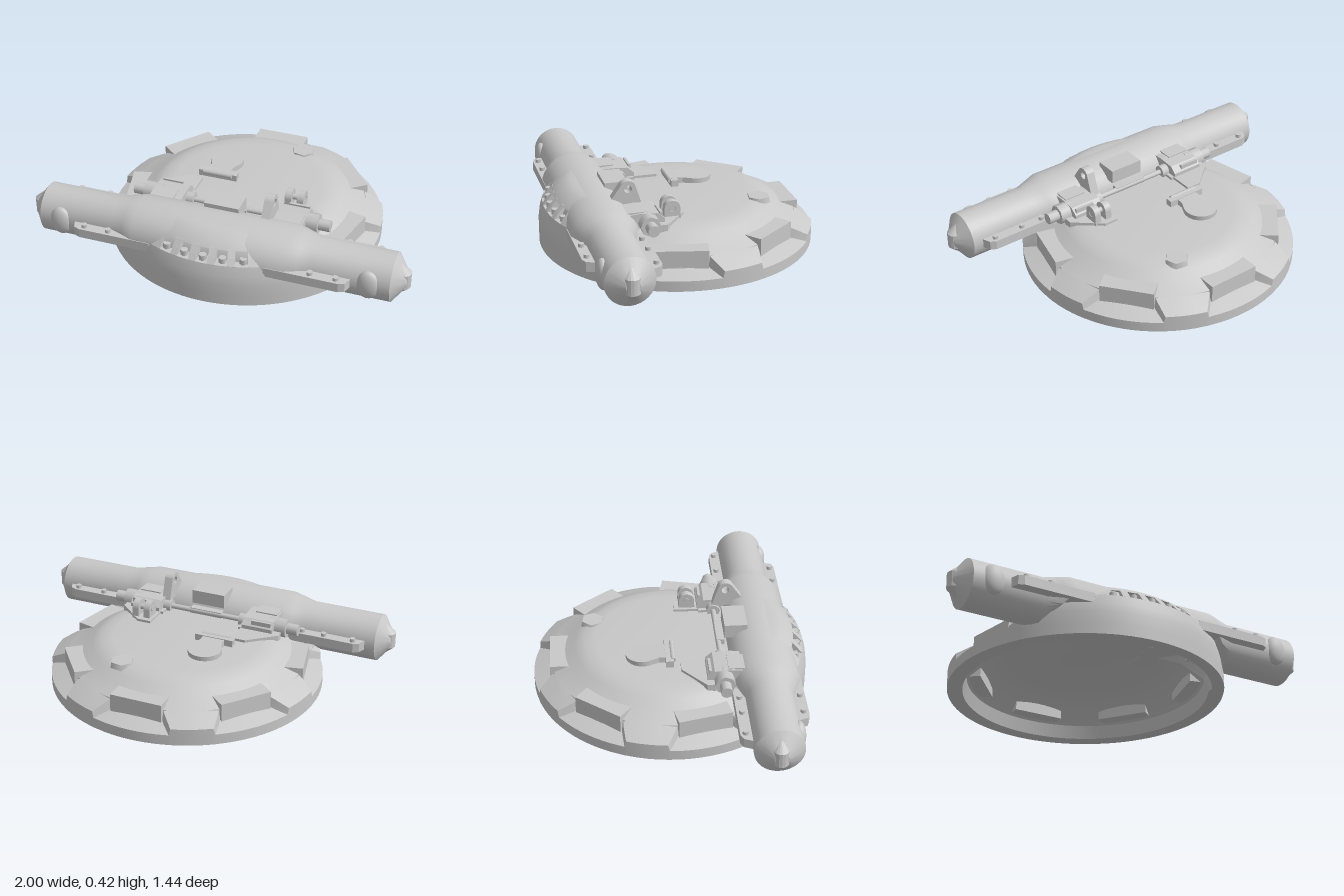
import * as THREE from 'three';
import { toCreasedNormals } from 'three/addons/utils/BufferGeometryUtils.js';
import { ConvexGeometry } from 'three/addons/geometries/ConvexGeometry.js';

export function createModel() {
  const model = new THREE.Group();
  const steel = new THREE.MeshStandardMaterial({ color: 0xc8c8c8 });
  steel.name = 'steel grey';

  const add = (name, geo, x = 0, y = 0, z = 0, parent = model) => {
    const mesh = new THREE.Mesh(geo, steel);
    mesh.name = name;
    mesh.position.set(x, y, z);
    parent.add(mesh);
    return mesh;
  };
  const v2 = (pts) => pts.map(([a, b]) => new THREE.Vector2(a, b));
  const shapeOf = (pts) => new THREE.Shape(v2(pts));
  const box = (w, h, d) => new THREE.BoxGeometry(w, h, d);
  const cylX = (r, len, n = 16) => new THREE.CylinderGeometry(r, r, len, n).rotateZ(Math.PI / 2);
  const extrude = (shape, depth) =>
    new THREE.ExtrudeGeometry(shape, { depth, bevelEnabled: false, curveSegments: 12 });
  // outline in (x, z), from y = top - h to y = top
  const flat = (shape, top, h) => extrude(shape, h).rotateX(Math.PI / 2).translate(0, top, 0);
  // outline in (z, y), centred on x
  const upright = (shape, x, w) => extrude(shape, w).rotateY(-Math.PI / 2).translate(x + w / 2, 0, 0);

  // Hollow lid: one profile all round, swapped for a tall wall at the front,
  // with flared notches cut into the rim for five vision blocks
  const rim = [[0.64, 0], [0.72, 0], [0.72, 0.055], [0.72, 0.09], [0.66, 0.124], [0.633, 0.138], [0.627, 0.141],
    [0.54, 0.18], [0.5, 0.207], [0.45, 0.23], [0.39, 0.236], [0, 0.238], [0, 0.205], [0.38, 0.2], [0.5, 0.165],
    [0.62, 0.07], [0.64, 0]];
  const front = [[0.66, 0], [0.722, 0], [0.722, 0.055], [0.722, 0.12], [0.715, 0.17], [0.7, 0.22], [0.62, 0.222],
    [0.53, 0.225], [0.49, 0.228], [0.44, 0.233], [0.38, 0.236], [0, 0.238], [0, 0.205], [0.38, 0.2], [0.5, 0.2],
    [0.66, 0.195], [0.66, 0]];
  const step = (Math.PI * 2) / 98;
  const lid = new THREE.LatheGeometry(v2(rim), 98);
  const lidPos = lid.attributes.position;
  for (let s = 0; s <= 98; s++) {
    const sector = Math.round(s / 14), local = s - sector * 14, steps = Math.abs(local);
    const isFront = Math.abs(s - 49) <= 15;
    for (let j = 0; j < rim.length; j++) {
      let [r, y] = (isFront ? front : rim)[j];
      let angle = Math.PI + s * step;
      if (!isFront && sector !== 3 && sector !== 4 && j >= 1 && j <= 5) {
        const edge = 0.218 + (r - 0.63) * 0.8;
        if (steps === 4 || steps === 5)
          angle += Math.sign(local) * (edge + (steps - 4) * 0.012 - steps * step);
        if (steps <= 4) y = Math.min(y, 0.055 + (0.72 - r) * 0.34);
      }
      lidPos.setXYZ(s * rim.length + j, r * Math.sin(angle), y, r * Math.cos(angle));
    }
  }
  add('lid', toCreasedNormals(lid, 0.5));

  // Cross barrel lofted from sections: [x, depth radius, height radius, lowest y]
  const half = [[0.4, 0.176, 0.15, 0.203], [0.46, 0.15, 0.14, 0.14], [0.53, 0.125, 0.125, 0.07],
    [0.92, 0.125, 0.125, 0], [0.985, 0.035, 0.035, 0], [0.985, 0.0005, 0.0005, 0]];
  const sections = [...half.map(([x, ...r]) => [-x, ...r]).reverse(), ...half];
  const N = 32, pos = [], index = [];
  sections.forEach(([x, rz, ry, low], i) => {
    for (let j = 0; j < N; j++) {
      const a = (j / N) * Math.PI * 2;
      pos.push(x, Math.max(low, 0.195 + ry * Math.sin(a)), 0.465 + rz * Math.cos(a));
      if (i === sections.length - 1) continue;
      const p = i * N + j, q = i * N + ((j + 1) % N);
      index.push(p, p + N, q, q, p + N, q + N);
    }
  });
  const barrel = new THREE.BufferGeometry();
  barrel.setAttribute('position', new THREE.Float32BufferAttribute(pos, 3));
  barrel.setIndex(index);
  add('barrel', toCreasedNormals(barrel, 0.5));

  // Sloped apron joining the front wall to the barrel, with five bolt pockets
  const sector = (pts, start, length) =>
    toCreasedNormals(new THREE.LatheGeometry(v2(pts), 14, start, length), 0.5);
  const slope = [[0.643, 0.282], [0.615, 0.305], [0.585, 0.325], [0.55, 0.338], [0.5, 0.338]];
  add('apronTop', sector([[0.57, 0.275], [0.648, 0.276], ...slope], -0.6, 1.2));
  for (const start of [-0.6, 0.36])
    add('apronSide', sector([[0.7, 0.21], [0.7, 0.22], [0.675, 0.25], ...slope], start, 0.24));
  const ribShape = shapeOf([[0.7, 0.2], [0.7, 0.22], [0.675, 0.25], [0.643, 0.283], [0.57, 0.3], [0.57, 0.2]]);
  for (let i = -2.5; i <= 2.5; i++)
    add('pocketRib', upright(ribShape, 0, 0.037)).rotation.y = Math.asin((i * 0.1) / 0.7);
  for (let i = -2; i <= 2; i++) {
    const z = Math.sqrt(0.667 ** 2 - (i * 0.1) ** 2);
    add('pocketBolt', new THREE.CylinderGeometry(0.02, 0.02, 0.03, 6), i * 0.1, 0.234, z);
    // rounded pocket underside inside the lid
    add('pocketCup', new THREE.SphereGeometry(1, 14, 10).scale(0.034, 0.05, 0.045), i * 0.1, 0.168, z - 0.02);
  }

  // Five vision blocks standing at the back of the rim notches
  for (let i = -2; i <= 2; i++) {
    const angle = Math.PI + (i * Math.PI * 2) / 7;
    add('visionBlock', box(0.28, 0.095, 0.1), 0.582 * Math.sin(angle), 0.1275, 0.582 * Math.cos(angle))
      .rotation.y = angle;
  }

  // Mirrored fittings along the barrel
  for (const s of [-1, 1]) {
    const m = (pts) => shapeOf(pts.map(([x, z]) => [s * x, z]));
    add('rearFlange', flat(m([[0.44, 0.36], [0.44, 0.285], [0.82, 0.285], [0.85, 0.3], [0.875, 0.36]]), 0.22, 0.05));
    add('frontFlange', flat(m([[0.3, 0.56], [0.3, 0.642], [0.68, 0.642], [0.71, 0.63], [0.735, 0.56]]), 0.22, 0.05));
    for (const [x, z] of [[0.81, 0.312], [0.65, 0.312], [0.53, 0.312], [0.66, 0.615], [0.53, 0.615]])
      add('flangeBolt', new THREE.CylinderGeometry(0.015, 0.015, 0.022, 8), s * x, 0.227, z);
    add('frontKnob', new THREE.SphereGeometry(1, 24, 16).scale(0.06, 0.078, 0.035), s * 0.81, 0.197, 0.571);

    // Pointed upright lens at the barrel tip
    const lens = [0.09, 0.3].map((y) => new THREE.Vector3(s * 0.926, y, 0.465));
    for (let k = 0; k < 16; k++) {
      const a = (k * Math.PI) / 8;
      for (const y of [0.155, 0.235])
        lens.push(new THREE.Vector3(s * (0.96 + 0.04 * Math.cos(a)), y, 0.465 + 0.04 * Math.sin(a)));
    }
    add('endLens', new ConvexGeometry(lens));

    // Hinge bracket
    add('hingeBase', flat(m([[0.22, 0.29], [0.22, 0.17], [0.235, 0.17], [0.235, 0.04], [0.31, 0.04],
      [0.45, 0.16], [0.45, 0.2], [0.42, 0.29]]), 0.25, 0.05));
    const side = shapeOf([[0.35, 0.2], [0.35, 0.3], [0.29, 0.305], [0.2, 0.3], [0.165, 0.27], [0.165, 0.2]]);
    add('hingeBody', upright(side, s * 0.325, 0.17));
    add('hingeTail', box(0.12, 0.05, 0.09), s * 0.34, 0.285, 0.315);
    add('hingeSlot', box(0.11, 0.03, 0.014), s * 0.345, 0.285, 0.18);
    add('hingeCollar', cylX(0.052, 0.1, 8), s * 0.42, 0.255, 0.25);
    add('hingeNut', cylX(0.03, 0.08, 12), s * 0.49, 0.255, 0.25);
    add('hingeInnerNut', cylX(0.035, 0.05, 12), s * 0.225, 0.255, 0.25);
  }
  add('hingeRod', cylX(0.014, 0.9, 12), 0, 0.255, 0.25);
  add('rodPlate', box(0.18, 0.03, 0.04), 0, 0.255, 0.262);
  add('rearStop', box(0.185, 0.075, 0.12), 0, 0.32, 0.34);

  // Pierced lugs: a rounded eye on a foot
  const lug = (name, x, w, z, y, r, hole, turn, foot) => {
    const shape = new THREE.Shape();
    shape.moveTo(...foot[0]);
    shape.lineTo(z + r * Math.cos(turn), y + r * Math.sin(turn));
    shape.absarc(z, y, r, turn, Math.PI - turn, false);
    shape.lineTo(...foot[1]);
    shape.holes.push(new THREE.Path().absarc(z, y, hole, 0, Math.PI * 2, true));
    add(name, upright(shape, x, w));
  };
  lug('tallLug', 0.233, 0.046, 0.315, 0.38, 0.043, 0.02, 0.6, [[0.43, 0.29], [0.24, 0.28]]);
  for (const x of [0.27, 0.335])
    lug('smallLug', x, 0.035, 0.11, 0.292, 0.041, 0.016, 0, [[0.155, 0.21], [0.065, 0.21]]);
  add('lugPin', cylX(0.015, 0.1, 12), 0.3, 0.292, 0.11);

  // Rounded cover with its hinge bar on top of the lid
  const cover = new THREE.Shape();
  cover.moveTo(-0.225, 0);
  cover.lineTo(-0.225, -0.06);
  cover.lineTo(-0.245, -0.105);
  cover.absarc(-0.165, -0.14, 0.088, Math.PI - 0.4, Math.PI * 2 + 0.4, false);
  cover.lineTo(-0.105, -0.06);
  cover.lineTo(-0.105, 0);
  add('cover', flat(cover, 0.27, 0.05)).rotation.x = -0.04;
  add('coverBar', box(0.21, 0.045, 0.04), -0.165, 0.25, -0.015);
  add('coverHinge', cylX(0.014, 0.16, 10), -0.165, 0.264, 0.002);

  // Small cap on the lid
  add('smallCap', new THREE.CylinderGeometry(0.06, 0.066, 0.03, 6), 0.185, 0.229, -0.4).rotation.y = 0.35;
  return model;
}
